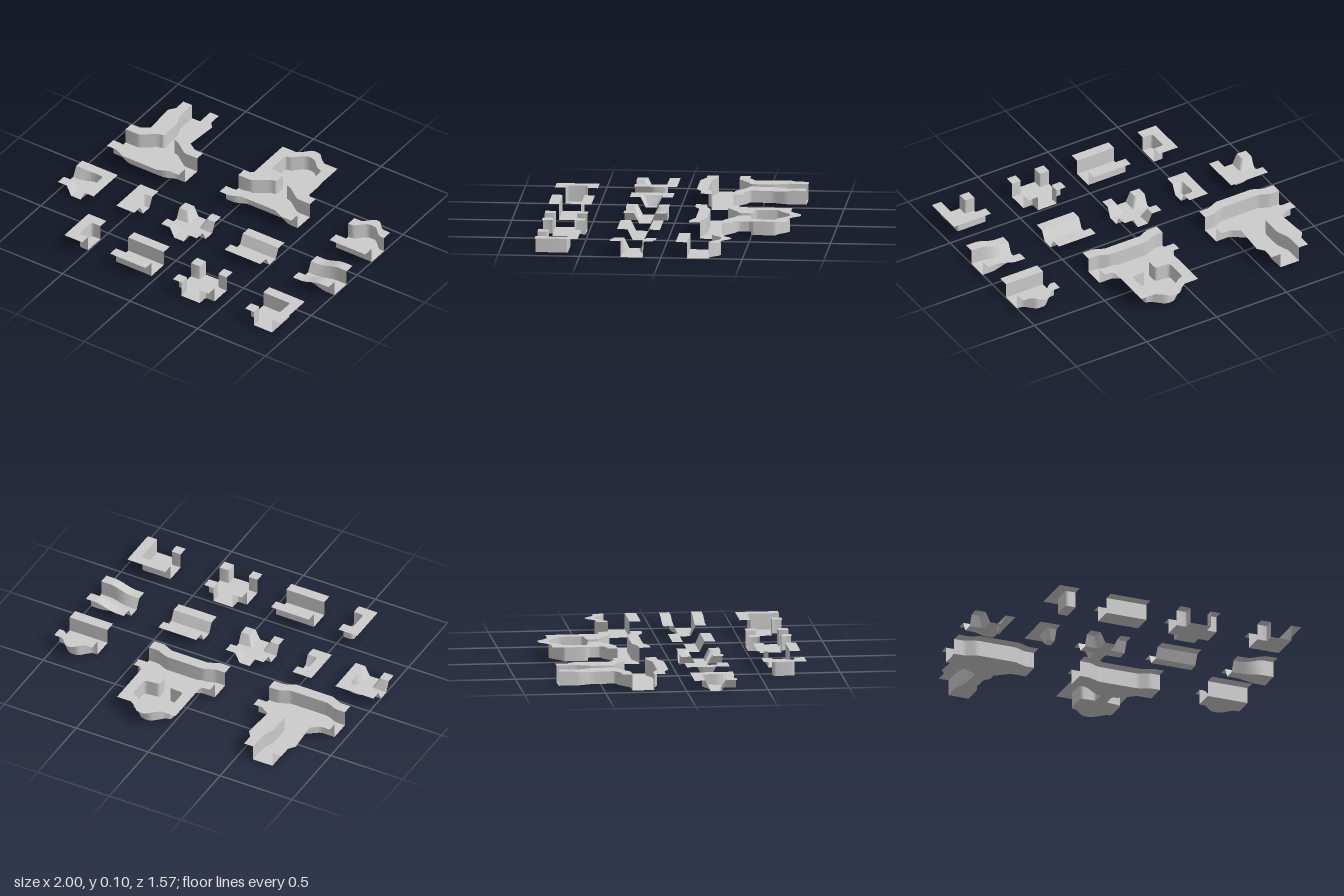
import * as THREE from 'three';
import { toCreasedNormals } from 'three/addons/utils/BufferGeometryUtils.js';

const material = new THREE.MeshStandardMaterial({ color: 0xcccccc, side: THREE.DoubleSide });
const H = 0.132;                 // half a tile
const W = 0.067;                 // half channel width at the bank
const F = 0.035;                 // half channel width at the foot of a sloped bank
const DEEP = 0.1, SHALLOW = 0.065;

const mirror = (pts) => pts.map(([x, z]) => [-x, z]).reverse();
const quarterTurn = ([x, z]) => [-z, x];

function mesh(name, positions) {
  const geo = new THREE.BufferGeometry();
  geo.setAttribute('position', new THREE.Float32BufferAttribute(positions, 3));
  const m = new THREE.Mesh(toCreasedNormals(geo, 0.6), material);
  m.name = name;
  return m;
}

// Replaces each inner corner of a line with a short curve
function soften(pts, radius) {
  const v = pts.map((p) => new THREE.Vector2(...p));
  const out = [pts[0]];
  for (let i = 1; i < v.length - 1; i++) {
    const toward = (o) => {
      const d = o.clone().sub(v[i]);
      return v[i].clone().add(d.setLength(Math.min(radius, d.length() * 0.45)));
    };
    const curve = new THREE.QuadraticBezierCurve(toward(v[i - 1]), v[i], toward(v[i + 1]));
    for (const p of curve.getPoints(4)) out.push([p.x, p.y]);
  }
  out.push(pts[pts.length - 1]);
  return out;
}

// Level polygon facing up
function level(name, pts, y) {
  const contour = pts.map(([x, z]) => new THREE.Vector2(x, z));
  const positions = [];
  for (const [a, b, c] of THREE.ShapeUtils.triangulateShape(contour, [])) {
    const [p, q, r] = [contour[a], contour[b], contour[c]];
    const up = q.clone().sub(p).cross(r.clone().sub(p)) < 0;
    for (const k of up ? [p, q, r] : [p, r, q]) positions.push(k.x, y, k.y);
  }
  return mesh(name, positions);
}

// Strip between the foot and the top of a bank
function wallStrip(top, foot, y) {
  const positions = [];
  for (let i = 0; i < top.length - 1; i++) {
    const a = [foot[i][0], 0, foot[i][1]], b = [foot[i + 1][0], 0, foot[i + 1][1]];
    const A = [top[i][0], y, top[i][1]], B = [top[i + 1][0], y, top[i + 1][1]];
    positions.push(...a, ...b, ...B, ...a, ...B, ...A);
  }
  return mesh('channelWall', positions);
}

// Tile from banks listed clockwise: wall line, outer outline, optional foot line
function tile(name, x, z, y, banks, radius = 0.02) {
  const group = new THREE.Group();
  group.name = name;
  const floor = [];
  for (const { wall, outer, foot = wall } of banks) {
    const top = soften(wall, radius), base = soften(foot, radius);
    floor.push(...base);
    group.add(level('bank', [...top, ...outer], y), wallStrip(top, base, y));
  }
  group.add(level('channelFloor', floor, 0));
  group.position.set(x, 0, z);
  return group;
}

// Straight tile lofted along x; section(x) gives bank height and foot half width
function straight(name, x, z, section, steps = 1) {
  const rows = [];
  for (let i = 0; i <= steps; i++) {
    const px = -H + (2 * H * i) / steps;
    const [y, f] = section(px);
    rows.push([[-H, y], [-W, y], [-f, 0], [f, 0], [W, y], [H, y]].map(([pz, py]) => [px, py, pz]));
  }
  const positions = [];
  for (let i = 0; i < steps; i++) {
    for (let j = 0; j < 5; j++) {
      const a = rows[i][j], c = rows[i][j + 1], b = rows[i + 1][j], d = rows[i + 1][j + 1];
      positions.push(...a, ...c, ...b, ...c, ...d, ...b);
    }
  }
  const m = mesh(name, positions);
  m.position.set(x, 0, z);
  return m;
}

// Four corner banks of a crossing
function crossingBanks(f) {
  let wall = [[W, -H], [W, -W], [H, -W]];
  let foot = [[f, -H], [f, -f], [H, -f]];
  let outer = [[H, -H]];
  const banks = [];
  for (let i = 0; i < 4; i++) {
    banks.push({ wall, foot, outer });
    [wall, foot, outer] = [wall, foot, outer].map((line) => line.map(quarterTurn));
  }
  return banks;
}

// Front bank of the large tiles, bowed forward by d
function frontBank(d) {
  const wall = [[0.265, -0.193], [0.2, -0.193], [0.13, -0.193 + d]];
  const outer = [[0.126, -0.123 + d], [0.195, -0.123], [0.265, -0.123]];
  return { wall: [...wall, ...mirror(wall)], outer: [...mirror(outer), ...outer] };
}

export function createModel() {
  const model = new THREE.Group();
  model.name = 'canalTiles';
  const sharp = 0.012;

  // Large fork with a narrowing side branch
  const forkRight = {
    wall: [[W, -0.76], [W, -0.632], [F, -0.551], [F, -0.405], [0.07, -0.4], [0.17, -0.327], [0.265, -0.327]],
    outer: [[0.265, -0.39], [0.206, -0.39], [0.147, -0.428], [0.163, -0.637], [0.131, -0.68], [0.131, -0.76]],
  };
  const forkLeft = { wall: mirror(forkRight.wall), outer: mirror(forkRight.outer) };
  model.add(tile('forkTile', -0.668, 0, DEEP, [forkLeft, forkRight, frontBank(0.032)]));

  // Large tile with a pool behind a narrow neck
  const poolWall = [[0.035, -0.717], [0.1, -0.655], [0.134, -0.648], [0.134, -0.495], [F, -0.487],
    [F, -0.405], [0.07, -0.4], [0.17, -0.327], [0.265, -0.327]];
  const poolOuter = [[0.265, -0.39], [0.22, -0.39], [0.203, -0.41], [0.203, -0.72], [0.105, -0.72],
    [0.068, -0.747], [0.035, -0.783], [0.015, -0.79]];
  model.add(tile('poolTile', 0.165, 0, DEEP, [
    { wall: [...mirror(poolWall), [0, -0.725], ...poolWall], outer: [...poolOuter, ...mirror(poolOuter)] },
    frontBank(-0.032),
  ]));

  // Straight tile with a bay in the back bank
  const bayWall = [[0.03, -0.359], [0.095, -0.294], [H, -0.294]];
  const bayOuter = [[H, -0.361], [0.08, -0.363], [0.06, -0.376], [0.035, -0.405], [0.014, -0.421]];
  model.add(tile('bayTile', 0.867, 0, DEEP, [
    { wall: [...mirror(bayWall), ...bayWall], outer: [...bayOuter, ...mirror(bayOuter)] },
    { wall: [[H, -0.161], [-H, -0.161]], outer: [[-H, -0.091], [H, -0.091]] },
  ]));

  // Shallow tiles with sloped banks
  const z1 = 0.18;
  model.add(tile('shallowCorner', -0.868, z1, SHALLOW, [
    {
      wall: [[-H, -W], [-0.07, -W], [0, -W], [W, -W], [W, 0], [W, 0.07], [W, H]],
      foot: [[-H, -F], [-0.07, -F], [0, -W], [W, -W], [W, 0], [F, 0.07], [F, H]],
      outer: [[H, H], [H, -H], [-H, -H]],
    },
    { wall: [[-W, H], [-W, W], [-H, W]], foot: [[-F, H], [-F, F], [-H, F]], outer: [[-H, H]] },
  ]));
  model.add(tile('shallowEnd', -0.437, z1, SHALLOW, [{
    wall: [[0, W], [-W, W], [-W, -W], [0, -W]],
    foot: [[0, F], [-0.045, F], [-0.045, -F], [0, -F]],
    outer: [[0, -H], [-H, -H], [-H, H], [0, H]],
  }]));
  model.add(tile('shallowCrossing', -0.105, z1, SHALLOW, crossingBanks(F)));
  model.add(straight('shallowStraight', 0.364, z1, () => [SHALLOW, F]));

  // Transition from shallow sloped banks to deep upright ones
  model.add(straight('transition', 0.868, z1, (x) => {
    const t = THREE.MathUtils.smoothstep(x, -0.08, 0.075);
    return [THREE.MathUtils.lerp(SHALLOW, DEEP, t), THREE.MathUtils.lerp(F, W, t)];
  }, 16));

  // Deep tiles with upright banks
  const z2 = 0.646;
  model.add(tile('deepEnd', -0.505, z2, DEEP, [{
    wall: [[0, W], [-W, W], [-W, -W], [0, -W]],
    outer: [[0, -H], [-H, -H], [-H, H], [0, H]],
  }]));
  model.add(straight('deepStraight', -0.168, z2, () => [DEEP, W]));
  model.add(tile('deepCrossing', 0.297, z2, DEEP, crossingBanks(W), sharp));
  model.add(tile('deepCorner', 0.831, z2, DEEP, [
    { wall: [[-H, -W], [W, -W], [W, H]], outer: [[H, H], [H, -H], [-H, -H]] },
    { wall: [[-W, H], [-W, W], [-H, W]], outer: [[-H, H]] },
  ], sharp));

  return model;
}
